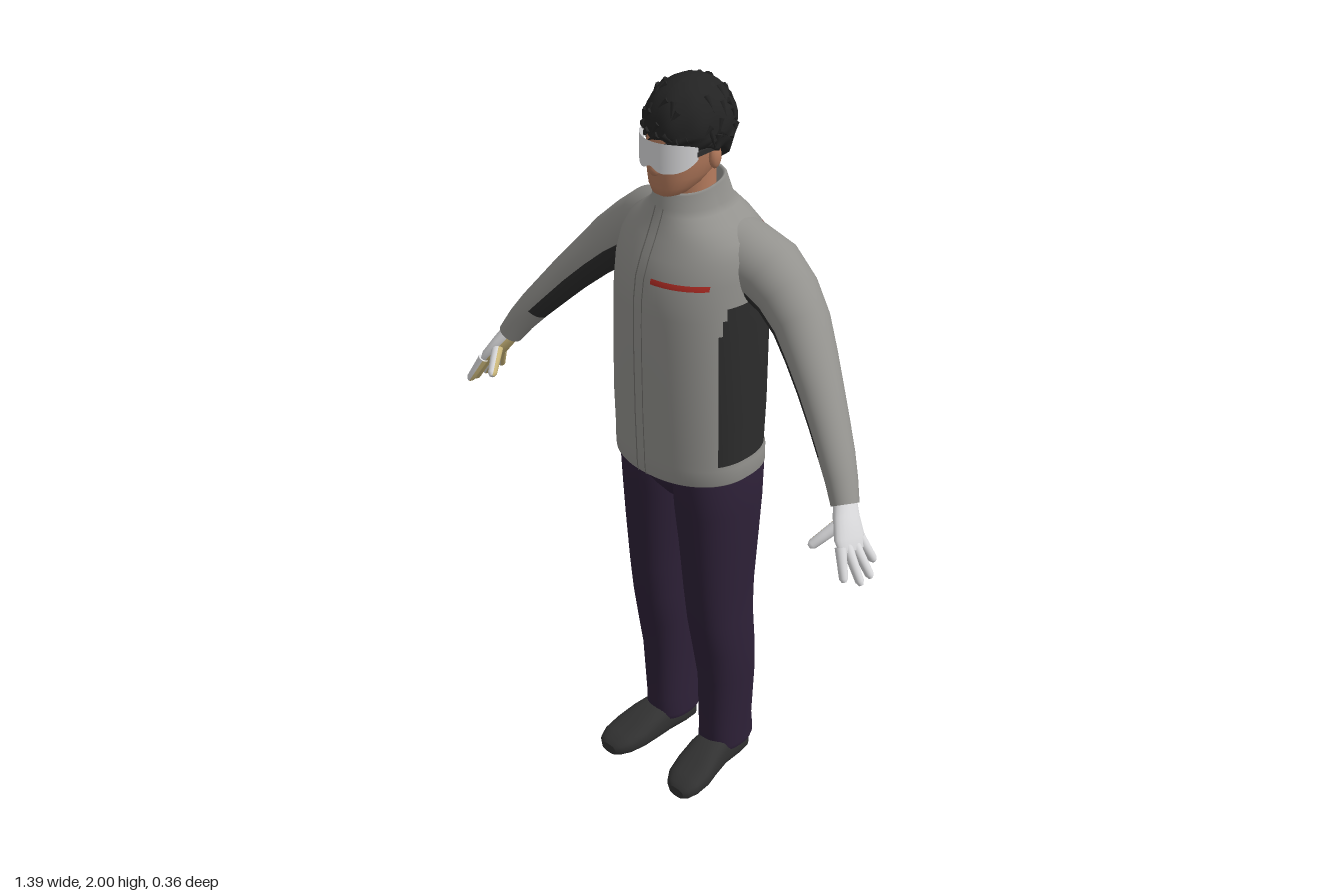
import * as THREE from 'three';
import { mergeGeometries } from 'three/addons/utils/BufferGeometryUtils.js';

const mat = (name, hex, side = THREE.FrontSide) => {
  const m = new THREE.MeshStandardMaterial({ color: hex, side });
  m.name = name;
  return m;
};
const V = (x, y, z) => new THREE.Vector3(x, y, z);
const spow = (c, e) => Math.sign(c) * Math.pow(Math.abs(c), 2 / e);

// Skin a list of superellipse rings {c,u,v,a,b}; e and eBack set the squareness of the
// +u and -u halves, pick(angle,row) gives the material index
function loft(rings, { n = 32, e = 2, eBack = e, side = 1, pick = () => 0 } = {}) {
  const pos = [], faces = [[], []], R = rings.length;
  const add = (p) => pos.push(p.x * side, p.y, p.z);
  const tri = (k, a, b, c) => faces[k].push(...(side > 0 ? [a, b, c] : [a, c, b]));
  const ring = (s) => {
    for (let j = 0; j < n; j++) {
      const t = (j / n) * Math.PI * 2, q = Math.cos(t) < 0 ? eBack : e;
      add(s.c.clone().addScaledVector(s.u, s.a * spow(Math.cos(t), q)).addScaledVector(s.v, s.b * spow(Math.sin(t), q)));
    }
  };
  rings.forEach(ring);
  for (let i = 0; i < R - 1; i++) for (let j = 0; j < n; j++) {
    const a = i * n + j, b = i * n + (j + 1) % n, k = pick(((j + 0.5) / n) * Math.PI * 2, i);
    tri(k, a, b, a + n);
    tri(k, b, b + n, a + n);
  }
  // End caps with their own rims
  [0, R - 1].forEach((r) => {
    const base = pos.length / 3;
    ring(rings[r]);
    add(rings[r].c);
    for (let j = 0; j < n; j++) {
      const a = base + j, b = base + (j + 1) % n;
      if (r) tri(0, a, b, base + n); else tri(0, b, a, base + n);
    }
  });
  const g = new THREE.BufferGeometry();
  g.setAttribute('position', new THREE.Float32BufferAttribute(pos, 3));
  g.setIndex([...faces[0], ...faces[1]]);
  g.addGroup(0, faces[0].length, 0);
  if (faces[1].length) g.addGroup(faces[0].length, faces[1].length, 1);
  g.computeVertexNormals();
  return g;
}

// Horizontal rings from rows [y, halfWidth, zBack, zFront, xCentre, tilt]
const upright = (rows) => rows.map(([y, hx, zb, zf, x = 0, tilt = 0]) => ({
  c: V(x, y, (zb + zf) / 2), u: V(0, tilt, 1), v: V(1, 0, 0), a: (zf - zb) / 2, b: hx }));

// Rings across a limb from rows [x, y, z, thickness, width]
const limb = (rows) => {
  const p = rows.map((r) => V(r[0], r[1], r[2]));
  return rows.map((r, i) => {
    const t = p[Math.min(i + 1, p.length - 1)].clone().sub(p[Math.max(i - 1, 0)]).normalize();
    const v = V(0, 0, 1).addScaledVector(t, -t.z).normalize();
    return { c: p[i], u: v.clone().cross(t), v, a: r[3], b: r[4] };
  });
};

// Open sheet from a point rule over u, v in 0..1
function sheet(fn, nu, nv) {
  const g = new THREE.PlaneGeometry(1, 1, nu, nv), p = g.attributes.position;
  for (let i = 0; i < p.count; i++) p.setXYZ(i, ...fn(p.getX(i) + 0.5, p.getY(i) + 0.5));
  g.computeVertexNormals();
  return g;
}

const E_FRONT = 2.1, E_BACK = 2.6;
const TORSO = [[0.97, 0.193, -0.153, 0.15], [0.977, 0.2, -0.16, 0.158], [1.02, 0.2, -0.16, 0.161],
  [1.03, 0.197, -0.156, 0.161], [1.15, 0.2, -0.162, 0.165], [1.33, 0.197, -0.17, 0.167], [1.4, 0.195, -0.174, 0.167],
  [1.44, 0.194, -0.175, 0.166], [1.47, 0.192, -0.176, 0.165], [1.53, 0.191, -0.175, 0.157], [1.58, 0.186, -0.17, 0.138],
  [1.62, 0.168, -0.16, 0.118], [1.65, 0.13, -0.145, 0.105], [1.675, 0.1, -0.125, 0.095], [1.69, 0.087, -0.112, 0.09],
  [1.737, 0.081, -0.09, 0.08, 0, -0.15], [1.742, 0.077, -0.086, 0.076, 0, -0.15], [1.738, 0.071, -0.08, 0.068, 0, -0.15],
  [1.7, 0.066, -0.075, 0.062]];

// Depth of the jacket surface at x, y (dir 1 front, -1 back)
function jacketZ(x, y, dir) {
  const i = Math.max(1, TORSO.findIndex((r) => r[0] >= y)), e = dir > 0 ? E_FRONT : E_BACK;
  const A = TORSO[i - 1], B = TORSO[i], f = (y - A[0]) / (B[0] - A[0]);
  const [hx, zb, zf] = [1, 2, 3].map((k) => A[k] + (B[k] - A[k]) * f);
  return (zb + zf) / 2 + dir * ((zf - zb) / 2 * Math.pow(1 - Math.pow(Math.abs(x / hx), e), 1 / e) + 0.004);
}
const patch = (x0, x1, y0, y1, dir, nu, nv) => sheet((u, v) => {
  const x = x0 + (x1 - x0) * u, y = y0 + (y1 - y0) * v;
  return [x, y, jacketZ(x, y, dir)];
}, nu, nv);

export function createModel() {
  const root = new THREE.Group();
  const grey = mat('jacketGrey', 0x93928e), dark = mat('panelCharcoal', 0x2c2c2c), navy = mat('trouserPurple', 0x2e2138);
  const shoe = mat('shoeBlack', 0x323232), hairM = mat('hairBlack', 0x232323, THREE.DoubleSide), skin = mat('skin', 0xb57b5d);
  const white = mat('white', 0xdcdcde, THREE.DoubleSide), tan = mat('palmTan', 0xcdb97c);
  const red = mat('stripeRed', 0xb02c24, THREE.DoubleSide), seam = mat('seamGrey', 0x72716d, THREE.DoubleSide);
  const add = (name, geo, m) => {
    const mesh = new THREE.Mesh(geo, m);
    mesh.name = name;
    root.add(mesh);
  };

  // Jacket body with collar and dark side panels
  const front = [65, 65, 65, 67, 72], back = [131, 131, 131, 128, 118];
  add('jacketBody', loft(upright(TORSO), { n: 96, e: E_FRONT, eBack: E_BACK, pick: (t, i) => {
    const d = Math.abs(t > Math.PI ? t - 2 * Math.PI : t) * 180 / Math.PI;
    return d > front[i - 3] && d < back[i - 3] ? 1 : 0;
  } }), [grey, dark]);
  add('zipSeam', patch(-0.02, -0.016, 0.975, 1.69, 1, 1, 40), seam);
  add('placketSeam', patch(0.008, 0.011, 0.975, 1.69, 1, 1, 40), seam);
  add('chestStripe', patch(0.03, 0.16, 1.523, 1.537, 1, 16, 2), red);
  add('backStripe', patch(0.115, -0.115, 1.597, 1.611, -1, 16, 2), red);

  // Hips joining the two trouser legs
  add('hips', loft(upright([[0.84, 0.012, -0.06, 0.03], [0.87, 0.05, -0.1, 0.065], [0.91, 0.11, -0.13, 0.098], [0.94, 0.165, -0.14, 0.112],
    [0.99, 0.175, -0.14, 0.112]])), navy);

  for (const side of [1, -1]) {
    const name = side > 0 ? 'left' : 'right';
    // Trouser leg
    add(name + 'Leg', loft(upright([[0.06, 0.056, -0.122, 0.03, 0.1], [0.075, 0.06, -0.128, 0.036, 0.1], [0.13, 0.057, -0.124, 0.036, 0.1],
      [0.3, 0.064, -0.125, 0.042, 0.104], [0.4, 0.07, -0.12, 0.058, 0.103], [0.5, 0.07, -0.115, 0.077, 0.101], [0.6, 0.074, -0.117, 0.088, 0.1],
      [0.75, 0.083, -0.13, 0.1, 0.098], [0.86, 0.092, -0.14, 0.108, 0.094], [0.96, 0.094, -0.146, 0.115, 0.093], [0.99, 0.088, -0.135, 0.105, 0.088]]),
    { e: 2.3, side }), navy);

    // Shoe, rows of z, x, half width, height
    const shoeRows = [[-0.104, 0.1, 0.025, 0.05], [-0.097, 0.1, 0.04, 0.085], [-0.06, 0.102, 0.047, 0.1], [0, 0.106, 0.048, 0.108],
      [0.05, 0.112, 0.055, 0.096], [0.1, 0.12, 0.06, 0.072], [0.145, 0.126, 0.055, 0.054], [0.17, 0.13, 0.042, 0.04], [0.18, 0.131, 0.026, 0.028]];
    add(name + 'Shoe', loft(shoeRows.map(([z, x, w, h]) => ({ c: V(x, h / 2, z), u: V(1, 0, 0), v: V(0, 1, 0), a: w, b: h / 2 })), { e: 2.7, side }), shoe);

    // Sleeve running out of the shoulder, with dark underside
    add(name + 'Sleeve', loft(limb([[0.05, 1.575, -0.04, 0.088, 0.085], [0.13, 1.56, -0.06, 0.09, 0.09], [0.2, 1.53, -0.077, 0.087, 0.09],
      [0.26, 1.49, -0.075, 0.078, 0.082], [0.32, 1.44, -0.06, 0.07, 0.073], [0.375, 1.383, -0.036, 0.06, 0.066], [0.43, 1.323, -0.01, 0.053, 0.058],
      [0.48, 1.263, 0.014, 0.047, 0.052], [0.525, 1.208, 0.037, 0.042, 0.047], [0.56, 1.16, 0.056, 0.037, 0.041], [0.588, 1.113, 0.073, 0.032, 0.036]]),
    { n: 64, side, pick: (t, i) => (i > 1 && i < 8 && Math.cos(t - 0.05) < -0.28 ? 1 : 0) }), [grey, dark]);

    // Gloved hand, pale back and tan palm
    const glove = (turn) => ({ n: 20, side, pick: (t) => (Math.cos(t - turn) < -0.2 ? 1 : 0) });
    const finger = (a, b, r) => limb([0, 0.5, 0.9, 1].map((f) =>
      [...[0, 1, 2].map((k) => a[k] + (b[k] - a[k]) * f), ...Array(2).fill(r * (f === 1 ? 0.4 : 1 - 0.25 * f))]));
    add(name + 'Palm', loft(limb([[0.582, 1.125, 0.068, 0.025, 0.03], [0.603, 1.09, 0.085, 0.023, 0.038],
      [0.628, 1.05, 0.1, 0.019, 0.046], [0.642, 1.024, 0.105, 0.011, 0.04]]), glove(0.5)), [white, tan]);
    [[0.07, 0.664, 0.976, 0.048], [0.093, 0.687, 0.957, 0.085], [0.116, 0.688, 0.955, 0.122], [0.136, 0.667, 0.972, 0.16]].forEach(([z, ...tip], i) =>
      add(name + 'Finger' + (i + 1), loft(finger([0.632, 1.043, z], tip, 0.014), glove(0.4)), [white, tan]));
    add(name + 'Thumb', loft(finger([0.605, 1.085, 0.105], [0.563, 1.028, 0.168], 0.016), glove(1.2)), [white, tan]);

    // Ear and goggle arm
    const ear = new THREE.SphereGeometry(1, 12, 10).scale(0.012, 0.03, 0.018).translate(side * 0.084, 1.818, -0.005);
    add(name + 'Ear', ear, skin);
    add(name + 'GoggleArm', new THREE.BoxGeometry(0.006, 0.012, 0.06).translate(side * 0.088, 1.845, 0.03), dark);
  }

  // Head, neck and nose
  add('neck', new THREE.CylinderGeometry(0.058, 0.062, 0.16, 24).translate(0, 1.71, -0.012), skin);
  add('head', loft(upright([[1.722, 0.022, 0.045, 0.092], [1.73, 0.04, 0.01, 0.104], [1.75, 0.056, -0.03, 0.11], [1.775, 0.068, -0.06, 0.11],
    [1.81, 0.077, -0.085, 0.111], [1.85, 0.081, -0.094, 0.108], [1.9, 0.08, -0.094, 0.1], [1.94, 0.062, -0.075, 0.075], [1.96, 0.03, -0.04, 0.035]]), { e: 2.2 }), skin);
  add('nose', new THREE.SphereGeometry(1, 12, 10).scale(0.015, 0.024, 0.02).translate(0, 1.803, 0.108), skin);

  // Wraparound goggles with a notch over the nose
  add('goggles', sheet((u, v) => {
    const t = (u - 0.5) * 2.25, edge = Math.abs(u - 0.5) * 2;
    const low = 1.797 + 0.014 * Math.exp(-Math.pow(edge / 0.16, 2)) + 0.035 * Math.pow(edge, 4);
    return [0.1 * Math.sin(t), low + (1.874 - 0.012 * edge ** 4 - low) * v, 0.004 + 0.123 * Math.cos(t)];
  }, 40, 6), white);

  // Hair cap, tapering to the nape, with short ruffled locks
  const hairPoint = (az, t, puff = 1) => {
    const c = Math.cos(az), bottom = 1.835 + (c > 0 ? 0.03 : 0.06) * c - 0.008 * Math.sin(az) * (c > 0 ? c : 0) + 0.006 * Math.sin(az * 11);
    const th = Math.min(t / 0.6, 1) * Math.PI / 2, d = Math.max(0, (t - 0.6) / 0.4);
    const r = Math.sin(th) * (1 - (c > 0 ? 0.1 : 0.2) * d * d) * (d > 0.99 ? 0.86 : 1) * puff * (1 + 0.02 * Math.sin(az * 9 + t * 8) * Math.sin(t * 14));
    return [0.103 * r * Math.sin(az), d > 0 ? 1.885 + (bottom - 1.885) * d : 1.885 + 0.113 * Math.cos(th) * puff, -0.007 + 0.119 * r * c];
  };
  add('hair', sheet((u, v) => hairPoint(u * Math.PI * 2, 1 - v), 72, 20), hairM);
  let seed = 7;
  const rnd = () => (seed = (seed * 16807) % 2147483647) / 2147483647;
  const locks = [];
  for (let i = 0; i < 60; i++) {
    const az = rnd() * Math.PI * 2, t = 0.2 + rnd() * 0.55;
    const a = V(...hairPoint(az, t, 0.97)), b = V(...hairPoint(az + (rnd() - 0.5) * 0.5, t + 0.1, 0.99));
    const g = new THREE.ConeGeometry(0.009, 0.045, 6).translate(0, 0.012, 0);
    g.applyQuaternion(new THREE.Quaternion().setFromUnitVectors(V(0, 1, 0), b.sub(a).normalize()));
    locks.push(g.translate(a.x, a.y, a.z));
  }
  add('hairLocks', mergeGeometries(locks), hairM);
  return root;
}
